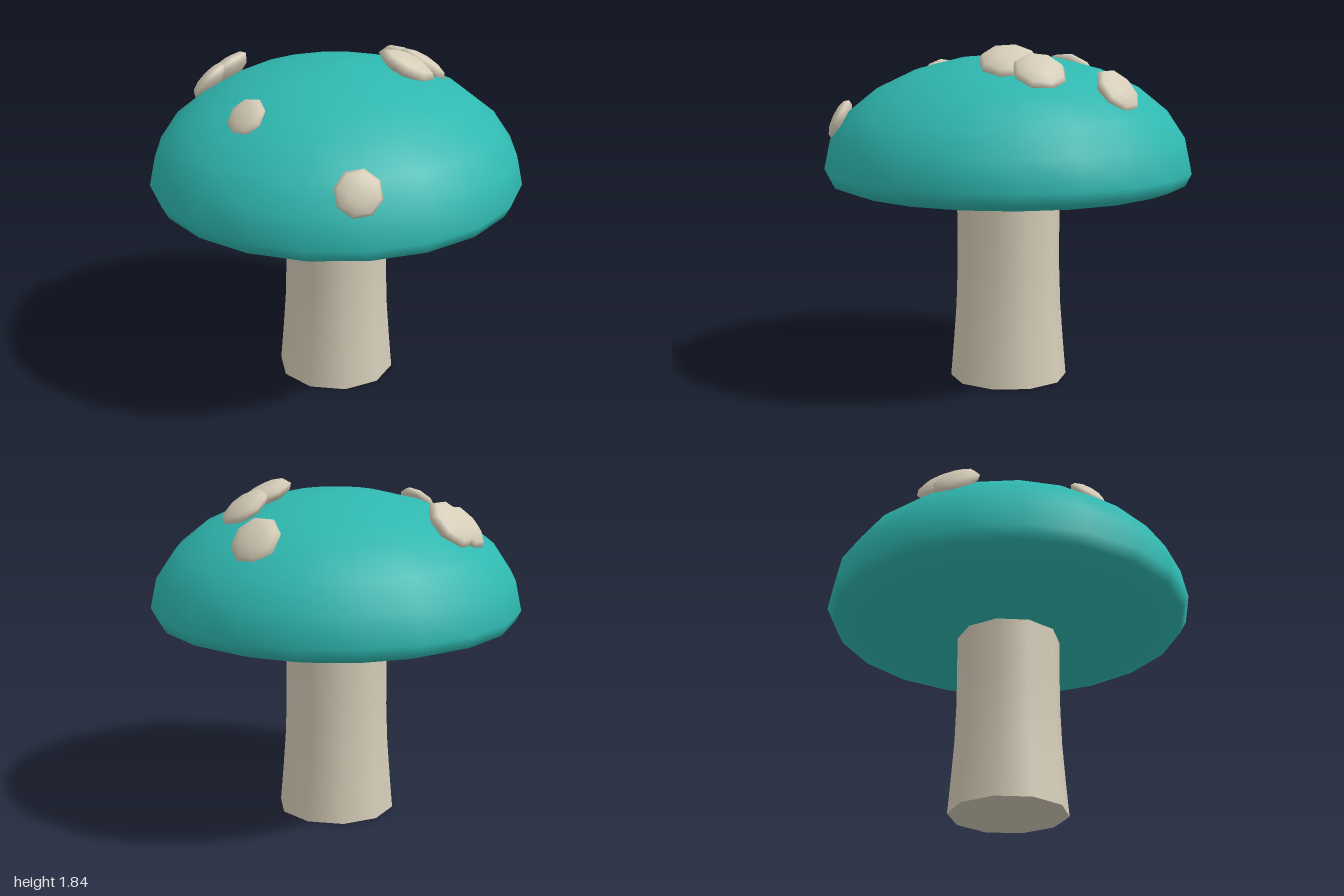
import * as THREE from 'three';

const teal = new THREE.MeshStandardMaterial({ color: 0x2fb8b0 });
teal.name = 'teal cap';
const cream = new THREE.MeshStandardMaterial({ color: 0xd6cdb8 });
cream.name = 'cream';

function add(parent, name, geometry, material) {
  const mesh = new THREE.Mesh(geometry, material);
  mesh.name = name;
  parent.add(mesh);
  return mesh;
}

export function createModel() {
  const model = new THREE.Group();
  model.name = 'mushroom';

  // Stem: ten-sided, flared at the foot, with a flat base
  const stem = new THREE.Group();
  stem.name = 'stem';
  model.add(stem);
  const stemProfile = [[0.32, 0], [0.303, 0.2], [0.288, 0.4], [0.281, 0.6], [0.28, 0.8], [0.282, 1.05]]
    .map(([r, y]) => new THREE.Vector2(r, y));
  add(stem, 'stemSide', new THREE.LatheGeometry(stemProfile, 10, Math.PI / 2), cream);
  add(stem, 'stemBase', new THREE.CircleGeometry(0.32, 10).rotateX(Math.PI / 2), cream);

  // Cap: shallow underside, then a squashed dome in 15 degree steps
  const capProfile = [[0, 1], [0.26, 1.005], [0.5, 1.016], [0.707, 1.035], [0.866, 1.06], [0.966, 1.095]]
    .map(([r, y]) => new THREE.Vector2(r, y));
  for (let i = 0; i <= 6; i++) {
    const a = i * Math.PI / 12;
    capProfile.push(new THREE.Vector2(i === 6 ? 0 : Math.cos(a), 1.16 + 0.62 * Math.sin(a)));
  }
  add(model, 'cap', new THREE.LatheGeometry(capProfile, 20), teal);

  // Spots: flattened eight-sided lenses facing away from the cap's middle
  const spots = new THREE.Group();
  spots.name = 'spots';
  model.add(spots);
  const capMiddle = new THREE.Vector3(0, 1, 0);
  const up = new THREE.Vector3(0, 1, 0);
  const lens = new THREE.SphereGeometry(1, 8, 6);
  const spotList = [ // x, y, z, radius
    [0.24, 1.425, 0.88, 0.122],
    [-0.37, 1.65, 0.525, 0.11],
    [0.365, 1.755, -0.1, 0.158],
    [0.43, 1.71, -0.28, 0.143],
    [0.28, 1.61, -0.65, 0.14],
    [-0.7, 1.62, -0.125, 0.14],
    [-0.64, 1.645, -0.205, 0.155],
  ];
  spotList.forEach(([x, y, z, r], i) => {
    const spot = add(spots, `spot${i + 1}`, lens, cream);
    spot.position.set(x, y, z);
    spot.scale.set(r, r * 0.36, r);
    spot.quaternion.setFromUnitVectors(up, spot.position.clone().sub(capMiddle).normalize());
  });

  return model;
}
